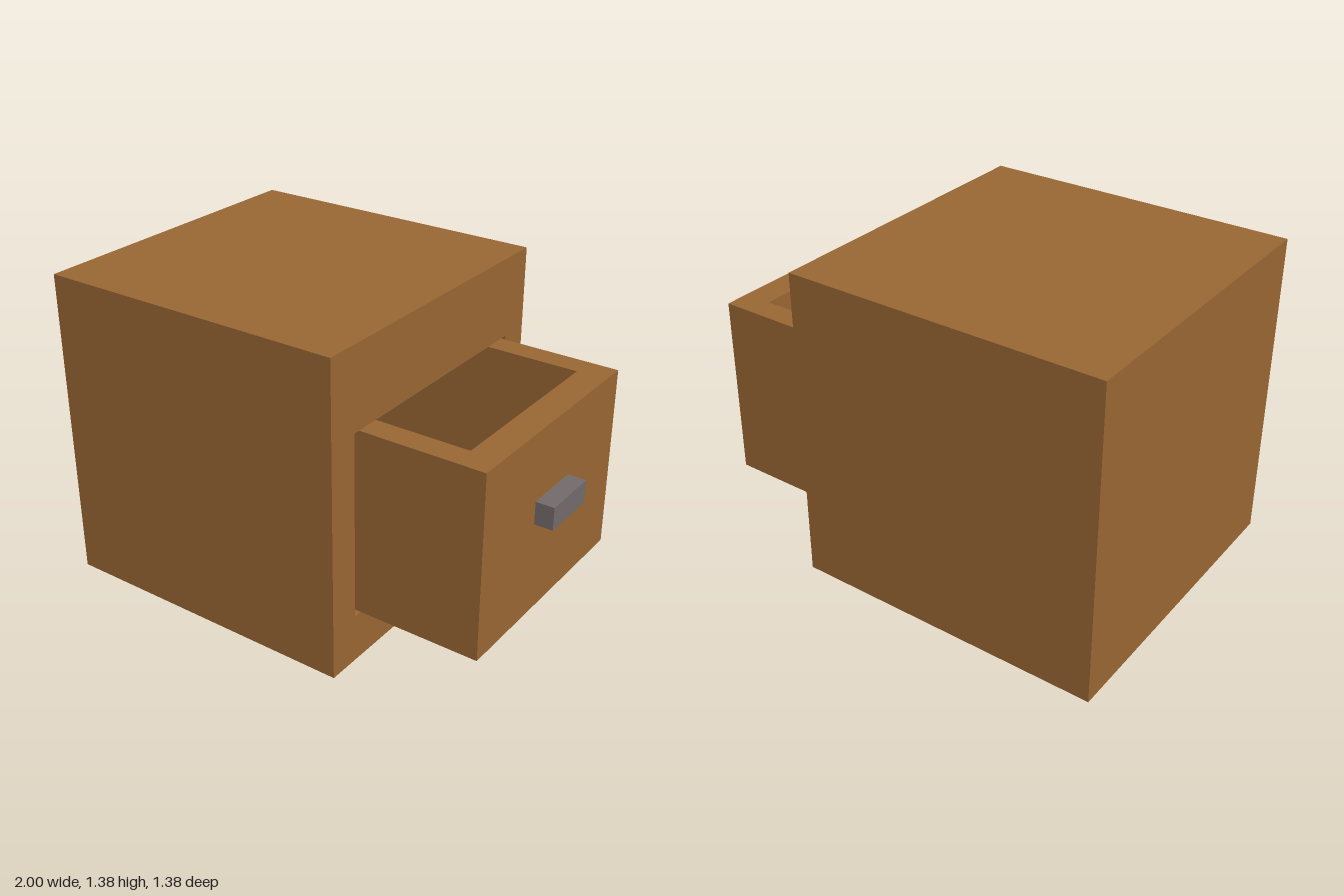
import * as THREE from 'three';

const wood = new THREE.MeshStandardMaterial({ color: 0x996633 });
wood.name = 'brown wood';
const metal = new THREE.MeshStandardMaterial({ color: 0x736b6b, side: THREE.DoubleSide });
metal.name = 'grey metal';

function mesh(name, geometry, material) {
  const m = new THREE.Mesh(geometry, material);
  m.name = name;
  return m;
}

// Box given by its lower and upper corners
function box(name, [x0, y0, z0], [x1, y1, z1], material) {
  const m = mesh(name, new THREE.BoxGeometry(x1 - x0, y1 - y0, z1 - z0), material);
  m.position.set((x0 + x1) / 2, (y0 + y1) / 2, (z0 + z1) / 2);
  return m;
}

function rectangle(PathType, x0, y0, x1, y1) {
  return new PathType([[x0, y0], [x1, y0], [x1, y1], [x0, y1]].map(([x, y]) => new THREE.Vector2(x, y)));
}

// Rectangular ring extruded along +z
function ring(outer, hole, depth) {
  const shape = rectangle(THREE.Shape, ...outer);
  shape.holes.push(rectangle(THREE.Path, ...hole));
  return new THREE.ExtrudeGeometry(shape, { depth, bevelEnabled: false });
}

export function createModel() {
  const model = new THREE.Group();
  model.name = 'cabinetWithDrawer';

  // Cabinet: solid back block and a hollow front that takes the drawer
  const cabinet = new THREE.Group();
  cabinet.name = 'cabinet';
  const backX = -0.6, faceX = 0.38;
  cabinet.add(box('cabinetBack', [-1, 0, -0.69], [backX, 1.385, 0.69], wood));
  const frame = ring([-0.69, 0, 0.69, 1.385], [-0.548, 0.212, 0.548, 1.03], faceX - backX);
  frame.rotateY(Math.PI / 2).translate(backX, 0, 0);
  cabinet.add(mesh('cabinetFrame', frame, wood));
  model.add(cabinet);

  // Drawer: four walls around a cavity, closed by a floor
  const drawer = new THREE.Group();
  drawer.name = 'drawer';
  const floorY = 0.33, topY = 1.028;
  const walls = ring([-0.4, -0.517, 0.92, 0.517], [-0.27, -0.41, 0.79, 0.41], topY - floorY);
  walls.rotateX(-Math.PI / 2).translate(0, floorY, 0);
  drawer.add(mesh('drawerWalls', walls, wood));
  drawer.add(box('drawerFloor', [-0.4, 0.22, -0.517], [0.92, floorY, 0.517], wood));

  // Pull handle: thin shell, open below and against the drawer
  const handle = box('handle', [0.92, 0.625, -0.13], [1, 0.725, 0.128], metal);
  const index = Array.from(handle.geometry.index.array);
  const keptFaces = [0, 2, 4, 5];
  handle.geometry.setIndex(keptFaces.flatMap((f) => index.slice(f * 6, f * 6 + 6)));
  handle.geometry.clearGroups();
  drawer.add(handle);
  model.add(drawer);

  return model;
}
